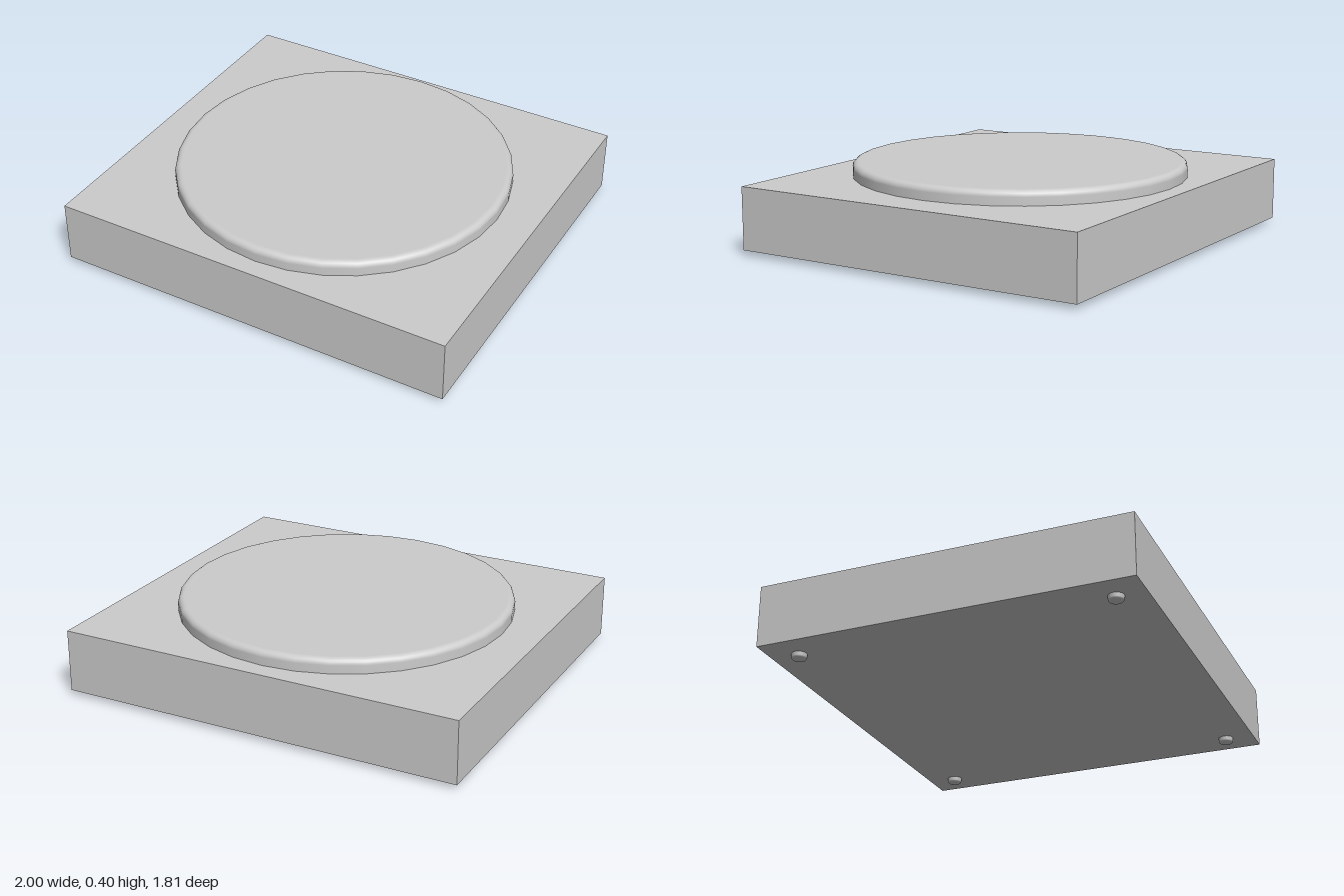
import * as THREE from 'three';

const material = new THREE.MeshStandardMaterial({ color: 0xcccccc });

function addMesh(group, name, geometry, x, y, z) {
  const mesh = new THREE.Mesh(geometry, material);
  mesh.name = name;
  mesh.position.set(x, y, z);
  group.add(mesh);
}

// Quarter-round profile points from angle a to angle b
function arc(cx, cy, r, a, b, steps) {
  return Array.from({ length: steps + 1 }, (_, i) => {
    const t = a + ((b - a) * i) / steps;
    return new THREE.Vector2(cx + r * Math.cos(t), cy + r * Math.sin(t));
  });
}

export function createModel() {
  const group = new THREE.Group();
  group.name = 'platform';

  // Slab body
  addMesh(group, 'body', new THREE.BoxGeometry(2, 0.305, 1.81), 0, 0.1775, 0);

  // Raised round plate with a rolled rim
  const rim = 0.03;
  const plate = [
    new THREE.Vector2(0.815, 0.32),
    ...arc(0.815 - rim, 0.4 - rim, rim, 0, Math.PI / 2, 6),
    new THREE.Vector2(0.78, 0.4),
    new THREE.Vector2(0, 0.4),
  ];
  addMesh(group, 'roundPlate', new THREE.LatheGeometry(plate, 32), 0, 0, 0);

  // Four small feet with softened lower edges
  const foot = [
    new THREE.Vector2(0, 0),
    new THREE.Vector2(0.027, 0),
    ...arc(0.028, 0.008, 0.008, -Math.PI / 2, 0, 3),
    new THREE.Vector2(0.038, 0.03),
  ];
  const footGeometry = new THREE.LatheGeometry(foot, 20);
  for (const x of [-0.855, 0.855]) {
    for (const z of [-0.765, 0.765]) {
      const name = (z > 0 ? 'front' : 'back') + (x > 0 ? 'Left' : 'Right') + 'Foot';
      addMesh(group, name, footGeometry, x, 0, z);
    }
  }
  return group;
}
